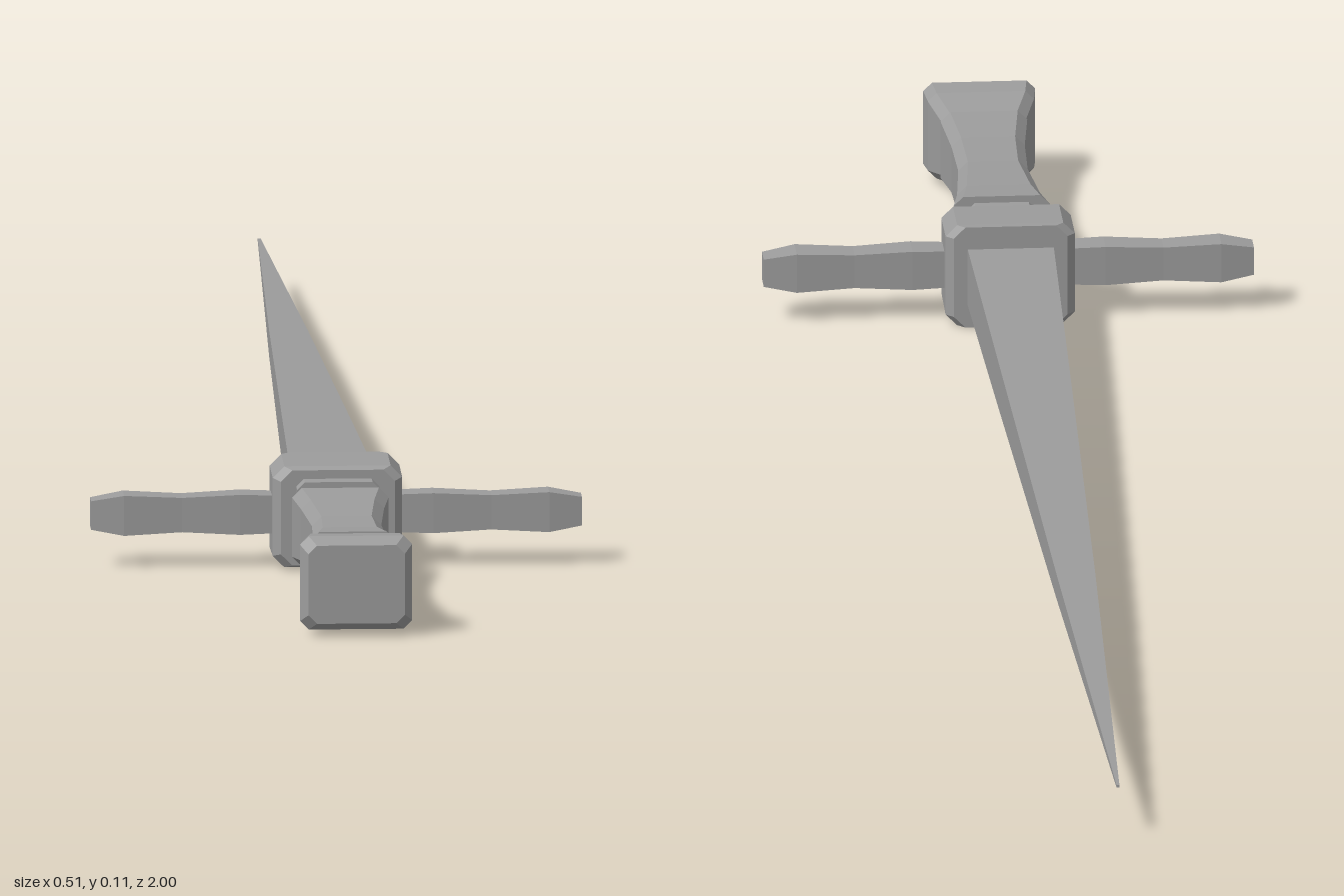
import * as THREE from 'three';

const AXIS_Y = 0.056;
const material = new THREE.MeshStandardMaterial({ color: 0x9c9c9c, flatShading: true });

// Rectangle outline with corners cut by c, counter-clockwise seen from +z
function section(w, h, c) {
  if (!c) return [[w, -h], [w, h], [-w, h], [-w, -h]];
  return [[w, c - h], [w, h - c], [w - c, h], [c - w, h],
    [-w, h - c], [-w, c - h], [c - w, -h], [w - c, -h]];
}

// Skin through stations [z, halfWidth, halfHeight], ordered by rising z, with capped ends
function loft(name, stations, chamfer = 0) {
  const n = chamfer ? 8 : 4;
  const positions = [];
  const index = [];
  for (const [z, w, h] of stations) {
    for (const [x, y] of section(w, h, chamfer)) positions.push(x, y, z);
  }
  const last = (stations.length - 1) * n;
  for (let s = 0; s < last; s += n) {
    for (let j = 0; j < n; j++) {
      const k = (j + 1) % n;
      index.push(s + j, s + k, s + n + k, s + j, s + n + k, s + n + j);
    }
  }
  for (let j = 1; j < n - 1; j++) {
    index.push(0, j + 1, j, last, last + j, last + j + 1);
  }
  const indexed = new THREE.BufferGeometry();
  indexed.setAttribute('position', new THREE.Float32BufferAttribute(positions, 3));
  indexed.setIndex(index);
  const geometry = indexed.toNonIndexed();
  geometry.computeVertexNormals();
  const mesh = new THREE.Mesh(geometry, material);
  mesh.name = name;
  mesh.position.y = AXIS_Y;
  return mesh;
}

export function createModel() {
  const model = new THREE.Group();
  model.name = 'dagger';

  // Long four-sided tapering blade
  model.add(loft('blade', [
    [-1, 0.0015, 0.0015], [-0.4, 0.02, 0.0135], [0.2, 0.036, 0.025], [0.55, 0.045, 0.031],
  ]));

  // Bevelled block in the middle of the guard
  model.add(loft('guardBlock', [
    [0.535, 0.059, 0.055], [0.543, 0.067, 0.055], [0.604, 0.067, 0.053], [0.612, 0.059, 0.05],
  ], 0.012));

  // Two wavy guard arms
  for (const side of [1, -1]) {
    const arm = loft(side > 0 ? 'leftGuardArm' : 'rightGuardArm', [
      [0.04, 0.014, 0.019], [0.1, 0.016, 0.021], [0.16, 0.014, 0.018],
      [0.22, 0.016, 0.021], [0.254, 0.012, 0.015],
    ]);
    arm.rotation.y = side * Math.PI / 2;
    arm.position.z = 0.575;
    model.add(arm);
  }

  // Stepped collar and neck between guard and handle
  model.add(loft('collar', [[0.605, 0.043, 0.041], [0.632, 0.043, 0.041]], 0.008));
  model.add(loft('neck', [[0.625, 0.036, 0.034], [0.675, 0.036, 0.034]], 0.008));

  // Waisted handle
  model.add(loft('handle', [
    [0.665, 0.05, 0.041], [0.71, 0.043, 0.037], [0.79, 0.036, 0.034],
    [0.86, 0.038, 0.035], [0.92, 0.045, 0.041],
  ], 0.01));

  // Flared pommel with a bevelled end
  model.add(loft('pommel', [
    [0.918, 0.042, 0.037], [0.962, 0.055, 0.047],
    [0.988, 0.058, 0.049], [1, 0.05, 0.041],
  ], 0.009));

  return model;
}
